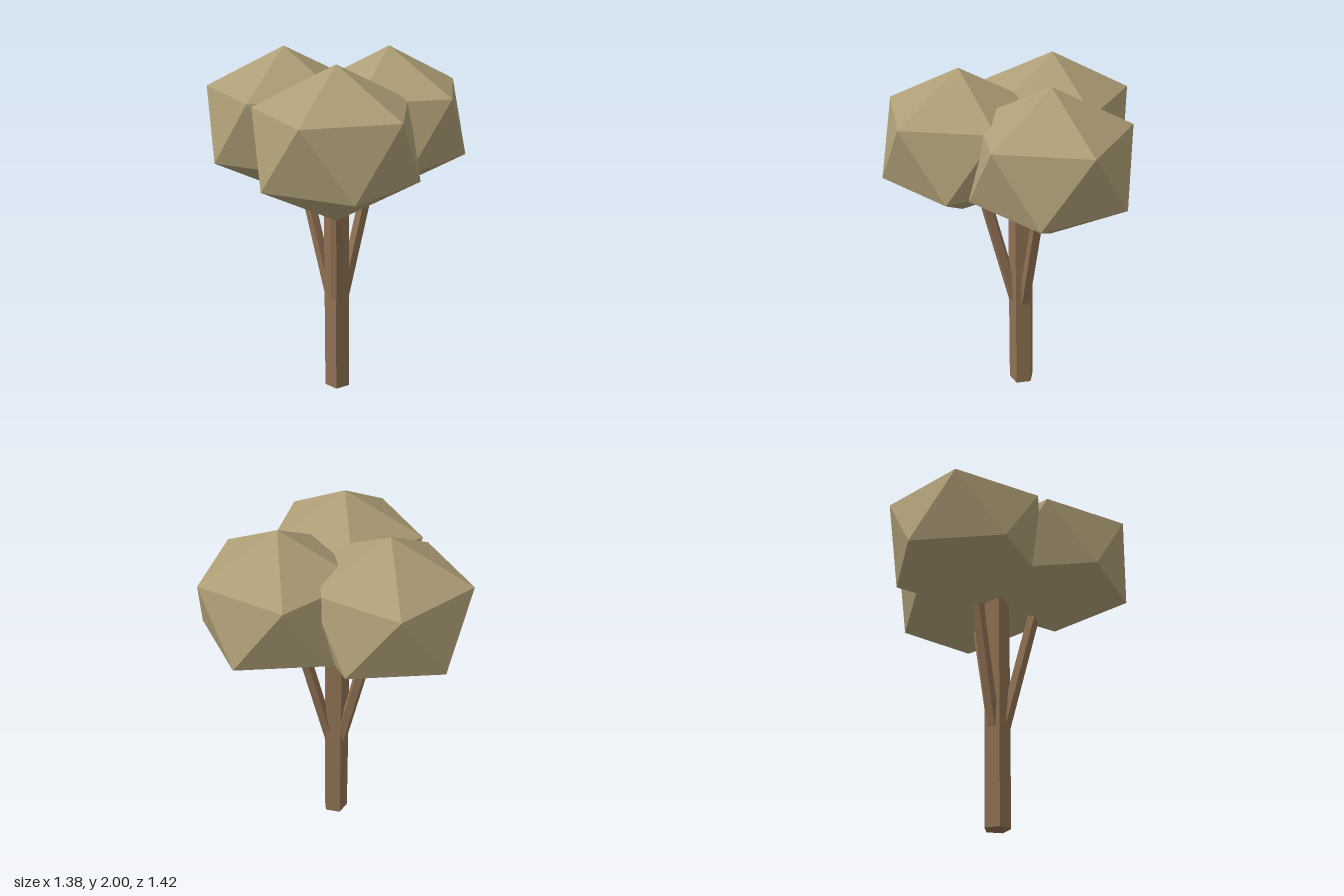
import * as THREE from 'three';
import { ConvexGeometry } from 'three/addons/geometries/ConvexGeometry.js';

const AXIS_X = -0.085; // trunk position; the crowns are spaced evenly around it
const UP = new THREE.Vector3(0, 1, 0);

// Five-sided post between two points, flat side to the front
function post(a, b, radius, material) {
  const dir = b.clone().sub(a);
  const geometry = new THREE.CylinderGeometry(radius, radius, dir.length(), 5, 1, false, Math.PI);
  const mesh = new THREE.Mesh(geometry, material);
  mesh.position.copy(a).add(b).multiplyScalar(0.5);
  mesh.quaternion.setFromUnitVectors(UP, dir.normalize());
  return mesh;
}

// Twenty-sided ball, slightly flattened: two poles and two staggered rings of five
function crownGeometry() {
  const points = [new THREE.Vector3(0, 0.42, 0), new THREE.Vector3(0, -0.42, 0)];
  for (let i = 0; i < 10; i++) {
    const t = i * Math.PI / 5;
    points.push(new THREE.Vector3(0.44 * Math.cos(t), i % 2 ? -0.188 : 0.188, 0.44 * Math.sin(t)));
  }
  return new ConvexGeometry(points);
}

export function createModel() {
  const bark = new THREE.MeshStandardMaterial({ color: 0x8f7153, flatShading: true });
  bark.name = 'bark brown';
  const leaf = new THREE.MeshStandardMaterial({ color: 0xae9e76, flatShading: true });
  leaf.name = 'foliage tan';

  const tree = new THREE.Group();
  tree.name = 'tree';

  const trunk = post(new THREE.Vector3(AXIS_X, 0, 0), new THREE.Vector3(AXIS_X, 1.42, 0), 0.075, bark);
  trunk.name = 'trunk';
  tree.add(trunk);

  // One branch and one crown in each of three directions
  const ball = crownGeometry();
  for (let i = 0; i < 3; i++) {
    const t = i * Math.PI * 2 / 3;
    const at = (r, y) => new THREE.Vector3(AXIS_X + r * Math.cos(t), y, r * Math.sin(t));

    const branch = post(at(0.04, 0.57), at(0.275, 1.5), 0.036, bark);
    branch.name = 'branch' + (i + 1);

    const crown = new THREE.Mesh(ball, leaf);
    crown.name = 'crown' + (i + 1);
    crown.position.copy(at(0.334, 1.58));
    tree.add(branch, crown);
  }
  return tree;
}
